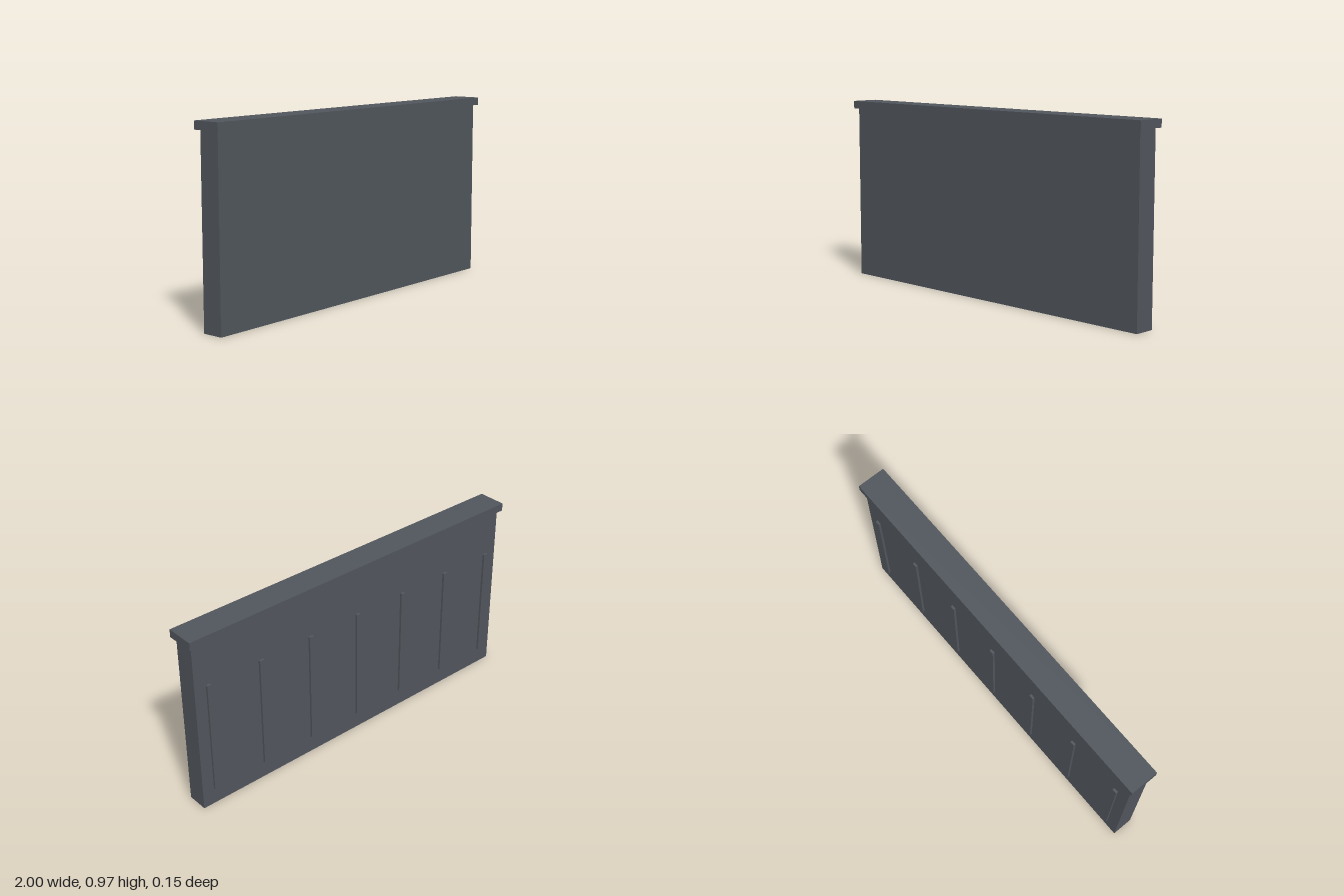
import * as THREE from 'three';

export function createModel() {
  const model = new THREE.Group();
  model.name = 'wallPanel';
  const slate = new THREE.MeshStandardMaterial({ color: 0x51565d });
  slate.name = 'slate grey';

  // Box spanning y0..y1 and z0..z1, centred on x
  const addBox = (name, x, width, y0, y1, z0, z1) => {
    const mesh = new THREE.Mesh(new THREE.BoxGeometry(width, y1 - y0, z1 - z0), slate);
    mesh.name = name;
    mesh.position.set(x, (y0 + y1) / 2, (z0 + z1) / 2);
    model.add(mesh);
  };

  // Main slab and overhanging coping
  addBox('wall', 0, 1.964, 0, 0.929, -0.055, 0.055);
  addBox('coping', 0, 2, 0.929, 0.97, -0.075, 0.075);

  // Seven evenly spaced vertical ribs on the back
  const ribCount = 7;
  const spacing = 0.302;
  for (let i = 0; i < ribCount; i++) {
    const x = (i - (ribCount - 1) / 2) * spacing;
    addBox(`rib${i + 1}`, x, 0.025, 0.093, 0.696, -0.067, -0.054);
  }
  return model;
}
